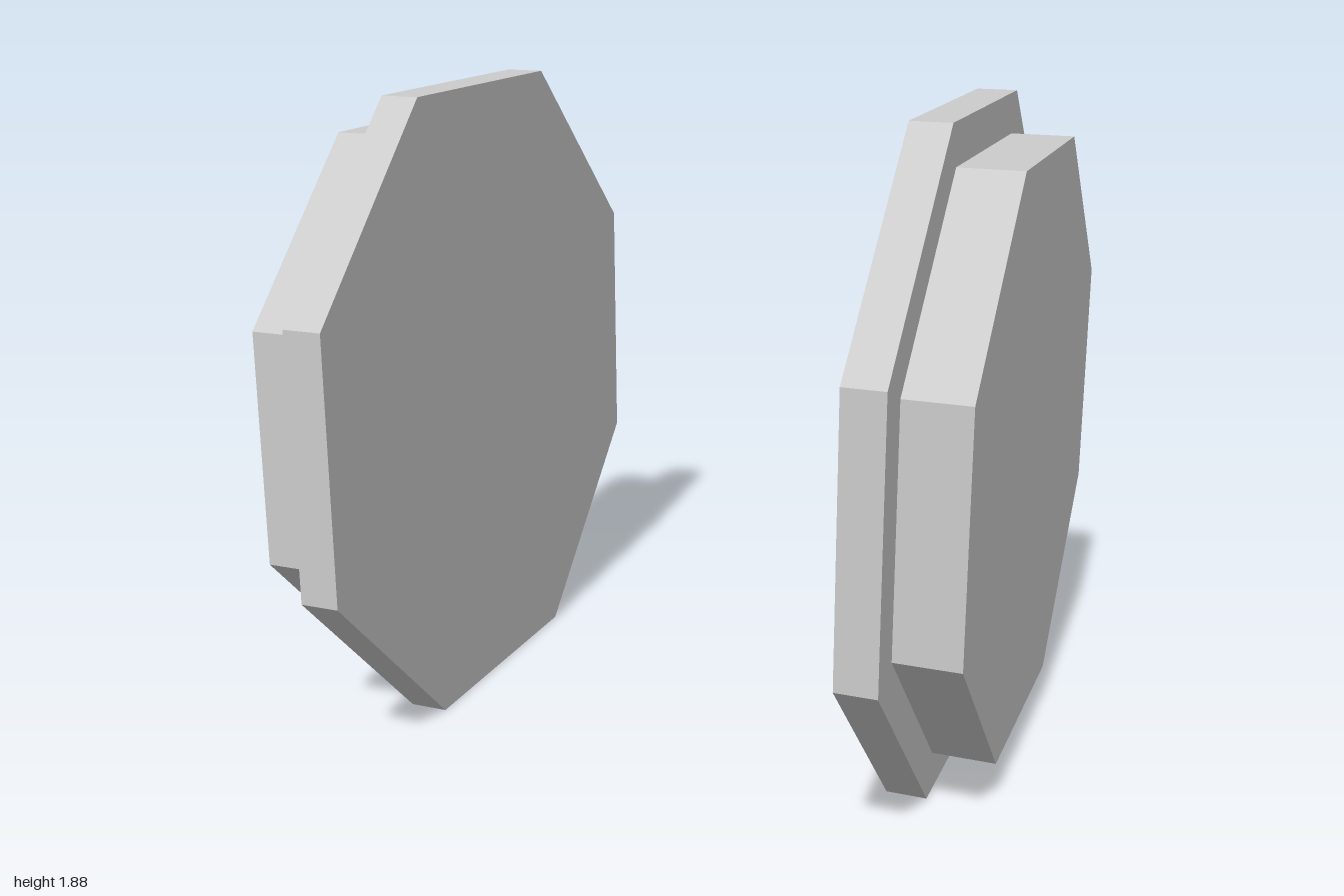
import * as THREE from 'three';

const CENTRE_Y = 0.94;

// Octagonal disc lying across x, with flats at top, bottom, front and back
function octagonDisc(name, apothem, xMin, xMax, material) {
  const radius = apothem / Math.cos(Math.PI / 8);
  const geometry = new THREE.CylinderGeometry(radius, radius, xMax - xMin, 8, 1, false, Math.PI / 8);
  geometry.rotateZ(-Math.PI / 2);
  const mesh = new THREE.Mesh(geometry, material);
  mesh.name = name;
  mesh.position.x = (xMin + xMax) / 2;
  return mesh;
}

export function createModel() {
  const material = new THREE.MeshStandardMaterial({ color: 0xcccccc, flatShading: true });
  const model = new THREE.Group();
  model.name = 'wheelPair';

  // Each wheel: a wide thin flange inside, a smaller thicker tread outside
  for (const [name, turn] of [['leftWheel', 0], ['rightWheel', Math.PI]]) {
    const wheel = new THREE.Group();
    wheel.name = name;
    wheel.add(
      octagonDisc('flange', 0.94, 0.705, 0.82, material),
      octagonDisc('tread', 0.822, 0.82, 1, material)
    );
    wheel.position.y = CENTRE_Y;
    wheel.rotation.y = turn;
    model.add(wheel);
  }
  return model;
}
